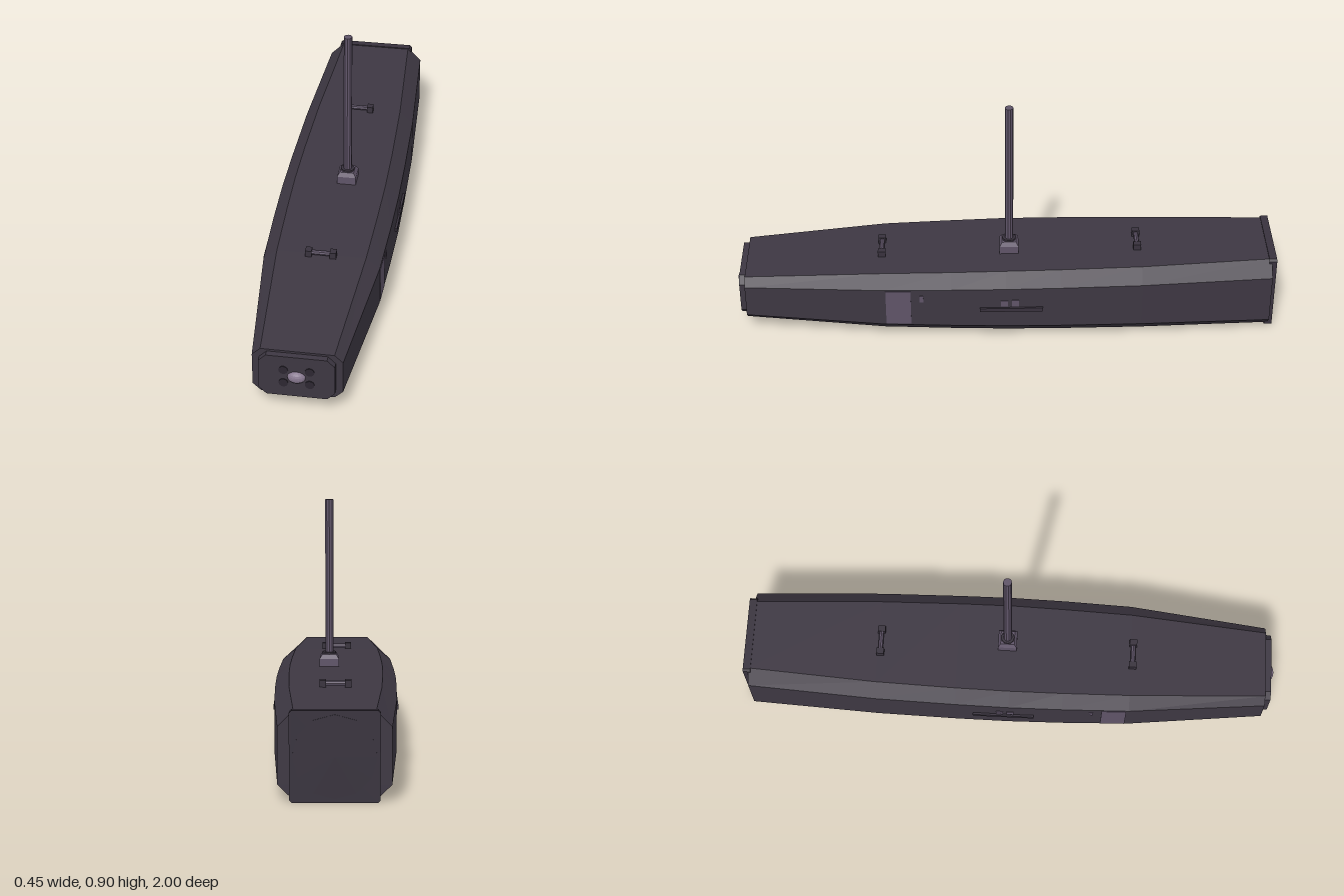
import * as THREE from 'three';

const mat = (color, extra = {}) => new THREE.MeshStandardMaterial({ color, flatShading: true, ...extra });
const hullMat = mat(0x3d3742);
const trimMat = mat(0x38323d);
const lightMat = mat(0x5f5468);
const lensMat = mat(0x86778e);

function add(parent, name, geometry, material, x = 0, y = 0, z = 0) {
  const mesh = new THREE.Mesh(geometry, material);
  mesh.name = name;
  mesh.position.set(x, y, z);
  parent.add(mesh);
  return mesh;
}

const box = (w, h, d) => new THREE.BoxGeometry(w, h, d);

// Hull stations: z, half width, half width of the flat top, bottom, side bottom, side top, top
const stations = [
  [0.96, 0.155, 0.126, 0.062, 0.09, 0.215, 0.243],
  [0.45, 0.209, 0.16, 0.031, 0.08, 0.234, 0.275],
  [0.2, 0.217, 0.167, 0.025, 0.076, 0.238, 0.281],
  [0, 0.22, 0.17, 0.021, 0.073, 0.24, 0.286],
  [-0.2, 0.218, 0.168, 0.018, 0.07, 0.241, 0.288],
  [-0.5, 0.211, 0.16, 0.014, 0.067, 0.243, 0.291],
  [-0.98, 0.185, 0.133, 0.007, 0.058, 0.248, 0.3],
];

// Octagonal ring, anticlockwise seen from the front
const ring = ([z, w, t, b, sb, st, top]) => [
  [w, sb, z], [w, st, z], [t, top, z], [-t, top, z],
  [-w, st, z], [-w, sb, z], [-t, b, z], [t, b, z],
];

function hullGeometry() {
  const rings = stations.map(ring);
  const pos = [];
  const tri = (a, b, c) => pos.push(...a, ...b, ...c);
  for (let i = 0; i < rings.length - 1; i++) {
    for (let j = 0; j < 8; j++) {
      const k = (j + 1) % 8;
      const [a, b, c, d] = [rings[i][j], rings[i][k], rings[i + 1][k], rings[i + 1][j]];
      tri(a, d, c);
      tri(a, c, b);
    }
  }
  const front = rings[0], back = rings[rings.length - 1];
  for (let j = 1; j < 7; j++) {
    tri(front[0], front[j], front[j + 1]);
    tri(back[0], back[j + 1], back[j]);
  }
  const g = new THREE.BufferGeometry();
  g.setAttribute('position', new THREE.Float32BufferAttribute(pos, 3));
  g.computeVertexNormals();
  return g;
}

// Rectangle with cut corners, extruded along z
function cutPlate(w, h, c, depth) {
  const s = new THREE.Shape([
    [w, -h + c], [w, h - c], [w - c, h], [-w + c, h],
    [-w, h - c], [-w, -h + c], [-w + c, -h], [w - c, -h],
  ].map(([x, y]) => new THREE.Vector2(x, y)));
  return new THREE.ExtrudeGeometry(s, { depth, bevelEnabled: false });
}

// Half width of the hull side at a given z
function sideX(z) {
  for (let i = 0; i < stations.length - 1; i++) {
    const [z0, w0] = stations[i], [z1, w1] = stations[i + 1];
    if (z <= z0 && z >= z1) return w0 + (w1 - w0) * (z0 - z) / (z0 - z1);
  }
  return stations[0][1];
}

export function createModel() {
  const model = new THREE.Group();
  model.name = 'hull with mast';
  add(model, 'hull', hullGeometry(), hullMat);

  // Nose plate with four ports around a lens
  const nose = new THREE.Group();
  nose.name = 'nose';
  model.add(nose);
  add(nose, 'nosePlate', cutPlate(0.13, 0.083, 0.026, 0.03), hullMat, 0, 0.152, 0.952);
  for (const x of [-0.045, 0.045]) {
    for (const y of [0.125, 0.179]) {
      const port = add(nose, 'port', new THREE.CylinderGeometry(0.016, 0.016, 0.006, 16), mat(0x2c2731), x, y, 0.982);
      port.rotation.x = Math.PI / 2;
    }
  }
  const lens = add(nose, 'lens', new THREE.SphereGeometry(1, 16, 10), lensMat, 0, 0.152, 0.98);
  lens.scale.set(0.032, 0.023, 0.02);

  // Rear plate with a round hatch
  add(model, 'rearPlate', cutPlate(0.147, 0.1505, 0.008, 0.028), trimMat, 0, 0.153, -0.998);
  const hatch = add(model, 'rearHatch', new THREE.CylinderGeometry(0.138, 0.138, 0.006, 12), trimMat, 0, 0.153, -0.997);
  hatch.rotation.x = Math.PI / 2;

  // Mast on a tapered foot
  const mast = new THREE.Group();
  mast.name = 'mast';
  mast.position.set(0.025, 0, -0.015);
  model.add(mast);
  add(mast, 'mastFoot', box(0.07, 0.04, 0.07), lightMat, 0, 0.296, 0);
  const taper = add(mast, 'mastFootTaper', new THREE.CylinderGeometry(0.036, 0.0495, 0.015, 4), lightMat, 0, 0.3235, 0);
  taper.rotation.y = Math.PI / 4;
  add(mast, 'mastCollar', new THREE.CylinderGeometry(0.025, 0.025, 0.008, 12), trimMat, 0, 0.334, 0);
  add(mast, 'mastPole', new THREE.CylinderGeometry(0.0155, 0.0155, 0.57, 10), lightMat, 0, 0.613, 0);

  // Deck handles: a bar between two blocks
  for (const [z, y] of [[0.457, 0.274], [-0.49, 0.291]]) {
    const handle = new THREE.Group();
    handle.name = 'deckHandle';
    handle.position.set(0, y, z);
    model.add(handle);
    for (const x of [-0.044, 0.044]) add(handle, 'handleBlock', box(0.023, 0.034, 0.028), trimMat, x, 0.007, 0);
    const bar = add(handle, 'handleBar', new THREE.CylinderGeometry(0.009, 0.009, 0.07, 8), lightMat, 0, 0.012, 0);
    bar.rotation.z = Math.PI / 2;
  }

  // Side fittings, mirrored
  for (const s of [1, -1]) {
    const side = new THREE.Group();
    side.name = s > 0 ? 'leftFittings' : 'rightFittings';
    model.add(side);
    const panel = add(side, 'sidePanel', box(0.006, 0.146, 0.092), lightMat, s * (sideX(0.395) - 0.001), 0.157, 0.395);
    panel.rotation.y = -s * Math.atan2(sideX(0.35) - sideX(0.44), 0.09);
    add(side, 'sideRail', box(0.014, 0.015, 0.23), trimMat, s * 0.22, 0.151, -0.02);
    for (const z of [0.006, -0.034]) add(side, 'sideStud', box(0.012, 0.026, 0.026), lightMat, s * 0.217, 0.178, z);
    add(side, 'sideMark', box(0.006, 0.028, 0.014), lightMat, s * (sideX(0.31) - 0.001), 0.197, 0.31);
  }
  return model;
}
